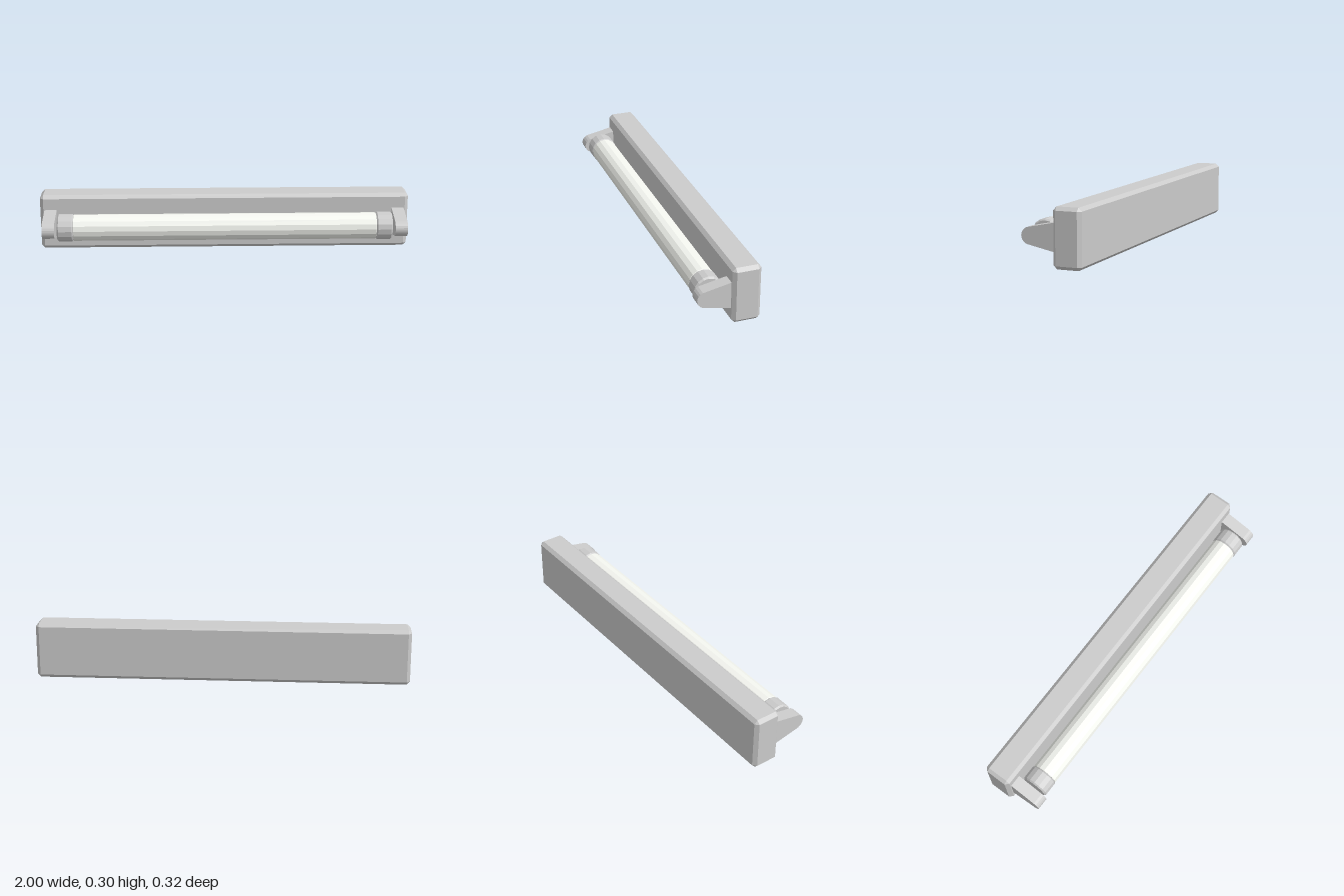
import * as THREE from 'three';
import { ConvexGeometry } from 'three/addons/geometries/ConvexGeometry.js';

const grey = new THREE.MeshStandardMaterial({ color: 0xcccccc, flatShading: true });
const glass = new THREE.MeshStandardMaterial({ color: 0xf4f6f0, flatShading: true });

// Box with every edge and corner chamfered
function chamferBox(w, h, d, c) {
  const points = [];
  for (const sx of [-1, 1]) for (const sy of [-1, 1]) for (const sz of [-1, 1]) {
    for (let axis = 0; axis < 3; axis++) {
      const half = [w / 2, h / 2, d / 2].map((v, i) => (i === axis ? v : v - c));
      points.push(new THREE.Vector3(sx * half[0], sy * half[1], sz * half[2]));
    }
  }
  return new ConvexGeometry(points);
}

// Solid of revolution along x, with small chamfers at both ends
function roller(radius, length, chamfer) {
  const h = length / 2;
  const profile = [[0, -h], [radius - chamfer, -h], [radius, -h + chamfer],
    [radius, h - chamfer], [radius - chamfer, h], [0, h]];
  const geometry = new THREE.LatheGeometry(profile.map(([r, y]) => new THREE.Vector2(r, y)), 16);
  return geometry.rotateZ(-Math.PI / 2);
}

export function createModel() {
  const model = new THREE.Group();
  model.name = 'wallTubeLamp';
  const add = (name, geometry, material, x, y, z) => {
    const mesh = new THREE.Mesh(geometry, material);
    mesh.name = name;
    mesh.position.set(x, y, z);
    model.add(mesh);
  };
  const midY = 0.151, tubeZ = 0.073;

  // Long housing at the back
  add('housing', chamferBox(2, 0.302, 0.149, 0.018), grey, 0, midY, -0.0875);

  // Light tube
  add('lightTube', roller(0.071, 1.624, 0.002), glass, 0, midY, tubeZ);

  // Tapered bracket side profile: shape x is forward, shape y is up
  const profile = new THREE.Shape();
  profile.moveTo(-0.03, -0.074);
  profile.lineTo(-0.013, -0.071);
  profile.lineTo(0.133, -0.041);
  profile.bezierCurveTo(0.152, -0.033, 0.162, -0.016, 0.162, 0);
  profile.bezierCurveTo(0.162, 0.016, 0.152, 0.033, 0.133, 0.041);
  profile.lineTo(-0.013, 0.071);
  profile.lineTo(-0.03, 0.074);
  profile.closePath();
  const bracket = new THREE.ExtrudeGeometry(profile, { depth: 0.066, bevelEnabled: false, curveSegments: 4 });
  bracket.translate(0, 0, -0.033).rotateY(-Math.PI / 2);

  // End caps and brackets on both sides
  for (const [side, s] of [['left', 1], ['right', -1]]) {
    add(side + 'EndCap', roller(0.074, 0.087, 0.008), grey, s * 0.855, midY, tubeZ);
    add(side + 'Bracket', bracket, grey, s * 0.943, midY, 0);
  }
  return model;
}
